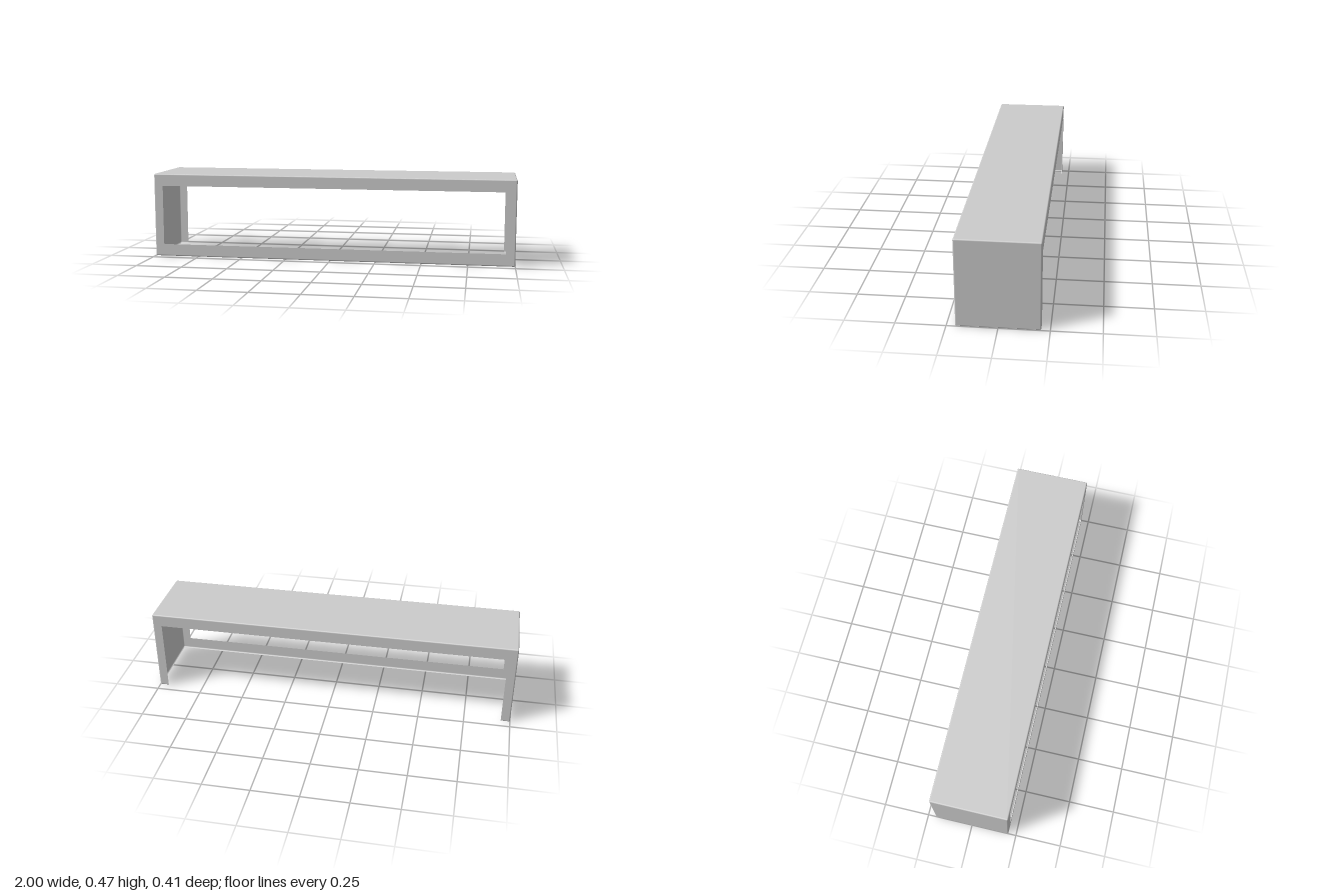
import * as THREE from 'three';
import { RoundedBoxGeometry } from 'three/addons/geometries/RoundedBoxGeometry.js';

const W = 2, H = 0.465, D = 0.414, R = 0.007; // overall size and edge radius
const STILE = 0.05, RAIL = 0.067;             // widths of the face frames
const material = new THREE.MeshStandardMaterial({ color: 0xcccccc, side: THREE.DoubleSide });

function add(group, name, geometry, x = 0, y = 0, z = 0) {
  const mesh = new THREE.Mesh(geometry, material);
  mesh.name = name;
  mesh.position.set(x, y, z);
  group.add(mesh);
  return mesh;
}

// Rounded thin-walled box without its front, back and bottom flats,
// and without the rounded edge across the open back
function shellGeometry() {
  const box = new RoundedBoxGeometry(W, H, D, 4, R);
  const source = box.index ? box.toNonIndexed() : box;
  const p = source.attributes.position, n = source.attributes.normal;
  const positions = [], normals = [], eps = 1e-5;
  for (let i = 0; i < p.count; i += 3) {
    const ids = [i, i + 1, i + 2];
    const mean = (get) => ids.reduce((sum, k) => sum + get(k), 0) / 3;
    const cx = mean((k) => p.getX(k)), cy = mean((k) => p.getY(k)), cz = mean((k) => p.getZ(k));
    const flat = Math.abs(cz) > D / 2 - eps || cy < -H / 2 + eps;
    const backEdge = Math.abs(cx) < W / 2 - STILE && cy < -H / 2 + R && cz < -D / 2 + R;
    if (flat && Math.abs(cx) < W / 2 - STILE || backEdge) continue;
    for (const k of ids) {
      positions.push(p.getX(k), p.getY(k), p.getZ(k));
      normals.push(n.getX(k), n.getY(k), n.getZ(k));
    }
  }
  const geometry = new THREE.BufferGeometry();
  geometry.setAttribute('position', new THREE.Float32BufferAttribute(positions, 3));
  geometry.setAttribute('normal', new THREE.Float32BufferAttribute(normals, 3));
  return geometry;
}

const polygon = (points) => points.map(([x, y]) => new THREE.Vector2(x, y));

export function createModel() {
  const model = new THREE.Group();
  model.name = 'openShelfCover';

  add(model, 'topAndSideShell', shellGeometry(), 0, H / 2, 0);

  const ox = W / 2 - R, ix = W / 2 - STILE;
  const top = H - R, low = R;

  // Front frame with a window
  const front = new THREE.Shape(polygon([[-ox, low], [ox, low], [ox, top], [-ox, top]]));
  front.holes.push(new THREE.Path(polygon([[-ix, RAIL], [-ix, H - RAIL], [ix, H - RAIL], [ix, RAIL]])));
  add(model, 'frontFrame', new THREE.ShapeGeometry(front), 0, 0, D / 2);

  // Back frame, open at the bottom
  const back = new THREE.Shape(polygon([
    [-ox, low], [-ix, low], [-ix, H - RAIL], [ix, H - RAIL],
    [ix, low], [ox, low], [ox, top], [-ox, top],
  ]));
  add(model, 'backFrame', new THREE.ShapeGeometry(back), 0, 0, -D / 2).rotation.y = Math.PI;

  // Rounded feet of the back stiles
  for (const side of [1, -1]) {
    const foot = new THREE.CylinderGeometry(R, R, ox - ix, 4, 1, true, Math.PI, Math.PI / 2);
    foot.rotateZ(Math.PI / 2);
    add(model, side > 0 ? 'leftStileFoot' : 'rightStileFoot', foot, side * (ox + ix) / 2, R, -D / 2 + R);
  }
  return model;
}
